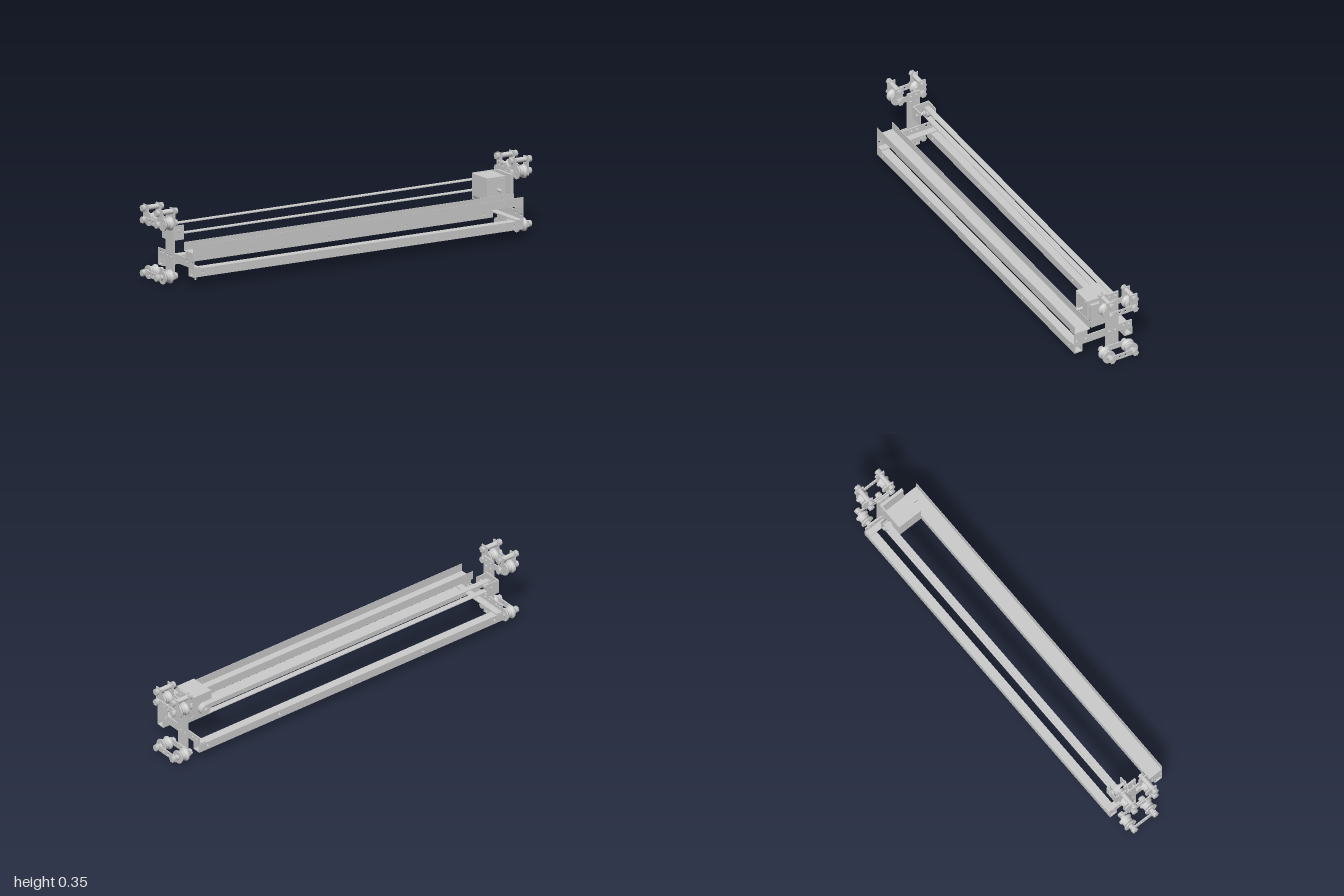
import * as THREE from 'three';

const grey = new THREE.MeshStandardMaterial({ color: 0xcccccc, side: THREE.DoubleSide });

function add(parent, name, geo, x = 0, y = 0, z = 0) {
  const m = new THREE.Mesh(geo, grey);
  m.name = name;
  m.position.set(x, y, z);
  parent.add(m);
  return m;
}

// Box given by its limits
function block(parent, name, x0, x1, y0, y1, z0, z1) {
  return add(parent, name, new THREE.BoxGeometry(x1 - x0, y1 - y0, z1 - z0),
    (x0 + x1) / 2, (y0 + y1) / 2, (z0 + z1) / 2);
}

// Cylinder along x or z between two limits
function rod(parent, name, axis, r, a, b, p, y, sides = 24) {
  const g = new THREE.CylinderGeometry(r, r, b - a, sides);
  if (axis === 'x') g.rotateZ(-Math.PI / 2); else g.rotateX(Math.PI / 2);
  const mid = (a + b) / 2;
  return axis === 'x' ? add(parent, name, g, mid, y, p) : add(parent, name, g, p, y, mid);
}

function rectShape(u0, u1, v0, v1, holes, r) {
  const s = new THREE.Shape();
  s.moveTo(u0, v0).lineTo(u1, v0).lineTo(u1, v1).lineTo(u0, v1).closePath();
  for (const [u, v] of holes) s.holes.push(new THREE.Path().absarc(u, v, r, 0, Math.PI * 2, true));
  return s;
}

// Drilled plate facing x; holes are [z, y]
function plateX(parent, name, x0, x1, y0, y1, z0, z1, holes = [], r = 0.006) {
  const s = rectShape(-z1, -z0, y0, y1, holes.map(([z, y]) => [-z, y]), r);
  const g = new THREE.ExtrudeGeometry(s, { depth: x1 - x0, bevelEnabled: false, curveSegments: 10 });
  return add(parent, name, g.rotateY(Math.PI / 2), x0);
}

// Drilled plate facing z; holes are [x, y]
function plateZ(parent, name, x0, x1, y0, y1, z0, z1, holes = [], r = 0.006) {
  const s = rectShape(x0, x1, y0, y1, holes, r);
  const g = new THREE.ExtrudeGeometry(s, { depth: z1 - z0, bevelEnabled: false, curveSegments: 10 });
  return add(parent, name, g, 0, 0, z0);
}

// Bolt through a truck, with a hex head and nuts
function axle(parent, y, z) {
  rod(parent, 'axleBolt', 'x', 0.008, 0.89, 0.998, z, y, 16);
  rod(parent, 'boltHead', 'x', 0.016, 0.985, 1, z, y, 6);
  rod(parent, 'nut', 'x', 0.016, 0.888, 0.9, z, y, 6);
}

// Grooved roller with hubs
function roller(parent, y, z) {
  const pts = [[0.008, -0.034], [0.013, -0.034], [0.013, -0.022], [0.032, -0.022], [0.032, -0.016],
    [0.025, -0.008], [0.025, 0.008], [0.032, 0.016], [0.032, 0.022], [0.013, 0.022], [0.013, 0.034], [0.008, 0.034]];
  // repeated points keep the rim edges crisp
  for (let i = 0; i < pts.length - 1; i++) {
    const g = new THREE.LatheGeometry([pts[i], pts[i + 1]].map(p => new THREE.Vector2(...p)), 32);
    add(parent, 'roller', g.rotateZ(-Math.PI / 2), 0.943, y, z);
  }
}

// One end: column, cross arm and roller trucks (built at +x)
function buildEnd() {
  const end = new THREE.Group();
  const colHoles = [0.308, 0.28, 0.115, 0.033].flatMap(y => [[-0.026, y], [-0.057, y]]);
  plateX(end, 'column', 0.88, 0.888, 0.02, 0.322, -0.075, -0.007, colHoles);
  const armHoles = [0.142, 0.094, -0.026, -0.057, -0.105, -0.132].map(z => [z, 0.115]);
  plateX(end, 'armWeb', 0.874, 0.88, 0.088, 0.128, -0.15, 0.152, armHoles);
  block(end, 'armFlange', 0.842, 0.875, 0.088, 0.094, -0.15, 0.152);
  // seat for the tray
  block(end, 'traySeatWeb', 0.874, 0.88, 0.128, 0.158, 0.084, 0.152);
  block(end, 'traySeatFlange', 0.84, 0.875, 0.152, 0.158, 0.084, 0.152);

  for (const y of [0.033, 0.28]) {
    for (const x of [0.9, 0.979]) {
      plateX(end, 'truckLink', x, x + 0.006, y - 0.014, y + 0.014, -0.112, 0.032,
        [[-0.026, y], [-0.055, y]]);
    }
    for (const z of [0.02, -0.1]) {
      axle(end, y, z);
      roller(end, y, z);
    }
    for (const z of [-0.026, -0.055]) rod(end, 'linkScrew', 'x', 0.005, 0.888, 0.904, z, y, 12);
  }
  // upright links carrying the upper guide bolts
  for (const z of [0.02, -0.1]) {
    for (const x of [0.906, 0.973]) plateX(end, 'uprightLink', x, x + 0.006, 0.262, 0.35, z - 0.02, z + 0.02);
    axle(end, 0.335, z);
    rod(end, 'guideSleeve', 'x', 0.012, 0.912, 0.973, z, 0.335);
  }
  return end;
}

// Hollow square tube along x, drilled through front and back
function squareTube(parent, name, z0, z1) {
  const t = 0.006, g = new THREE.Group();
  g.name = name;
  const holes = [-0.83, -0.415, 0, 0.415, 0.83].map(x => [x, 0.069]);
  for (const z of [z0, z1 - t]) plateZ(g, 'tubeSide', -0.88, 0.88, 0.048, 0.088, z, z + t, holes);
  for (const y of [0.048, 0.082]) block(g, 'tubeFace', -0.88, 0.88, y, y + t, z0 + t, z1 - t);
  parent.add(g);
}

export function createModel() {
  const model = new THREE.Group();
  model.name = 'gantryBeam';

  const left = buildEnd();
  left.name = 'leftEnd';
  const right = buildEnd();
  right.name = 'rightEnd';
  right.scale.x = -1;
  model.add(left, right);

  squareTube(model, 'frontTube', 0.11, 0.152);
  squareTube(model, 'backTube', -0.152, -0.11);
  const pin = new THREE.CylinderGeometry(0.004, 0.004, 0.06, 12);
  add(model, 'adjustingScrew', pin, -0.855, 0.06, 0.129);

  // U-shaped cable tray
  const tray = new THREE.Group();
  tray.name = 'tray';
  block(tray, 'trayFloor', -0.88, 0.88, 0.157, 0.16, 0.07, 0.152);
  block(tray, 'trayFront', -0.88, 0.88, 0.157, 0.198, 0.15, 0.152);
  block(tray, 'trayBack', -0.88, 0.88, 0.157, 0.198, 0.07, 0.072);
  model.add(tray);

  // Motor with rounded lower edges
  const motor = new THREE.Group();
  motor.name = 'motor';
  const s = new THREE.Shape();
  s.moveTo(0.74, 0.283).lineTo(0.74, 0.183).absarc(0.761, 0.183, 0.021, Math.PI, Math.PI * 1.5, false);
  s.lineTo(0.82, 0.162).absarc(0.82, 0.183, 0.021, -Math.PI / 2, 0, false);
  s.lineTo(0.841, 0.283).closePath();
  add(motor, 'motorBody', new THREE.ExtrudeGeometry(s, { depth: 0.12, bevelEnabled: false }), 0, 0, -0.057);
  rod(motor, 'motorShaft', 'z', 0.007, -0.11, 0.097, 0.8, 0.223);
  for (const x of [0.755, 0.826]) {
    for (const y of [0.19, 0.27]) rod(motor, 'motorScrew', 'z', 0.007, 0.06, 0.066, x, y, 12);
  }
  plateZ(motor, 'motorMount', 0.74, 0.88, 0.162, 0.285, -0.064, -0.057, [[0.855, 0.19], [0.855, 0.26]]);
  block(motor, 'mountFlange', 0.866, 0.88, 0.162, 0.285, -0.064, 0.065);
  model.add(motor);

  // Belt loop and its pulleys
  const xa = -0.838, xb = 0.8, y = 0.222;
  const loop = (path, r) => path.absarc(xa, y, r, Math.PI / 2, Math.PI * 1.5, false)
    .absarc(xb, y, r, -Math.PI / 2, Math.PI / 2, false).closePath();
  const belt = loop(new THREE.Shape(), 0.027);
  belt.holes.push(loop(new THREE.Path(), 0.023));
  add(model, 'belt', new THREE.ExtrudeGeometry(belt, { depth: 0.028, bevelEnabled: false, curveSegments: 20 }), 0, 0, -0.102);
  for (const x of [xa, xb]) {
    rod(model, 'pulley', 'z', 0.023, -0.103, -0.073, x, y, 32);
    rod(model, 'pulleyHub', 'z', 0.012, -0.11, -0.064, x, y);
  }

  // Idler bracket holding the undriven pulley
  const idler = new THREE.Group();
  idler.name = 'idlerBracket';
  for (const z of [-0.119, -0.04]) plateZ(idler, 'idlerCheek', -0.878, -0.815, 0.18, 0.248, z, z + 0.005);
  block(idler, 'idlerBase', -0.88, -0.874, 0.18, 0.248, -0.119, -0.035);
  rod(idler, 'idlerAxle', 'z', 0.008, -0.124, -0.028, xa, y, 16);
  model.add(idler);

  return model;
}
